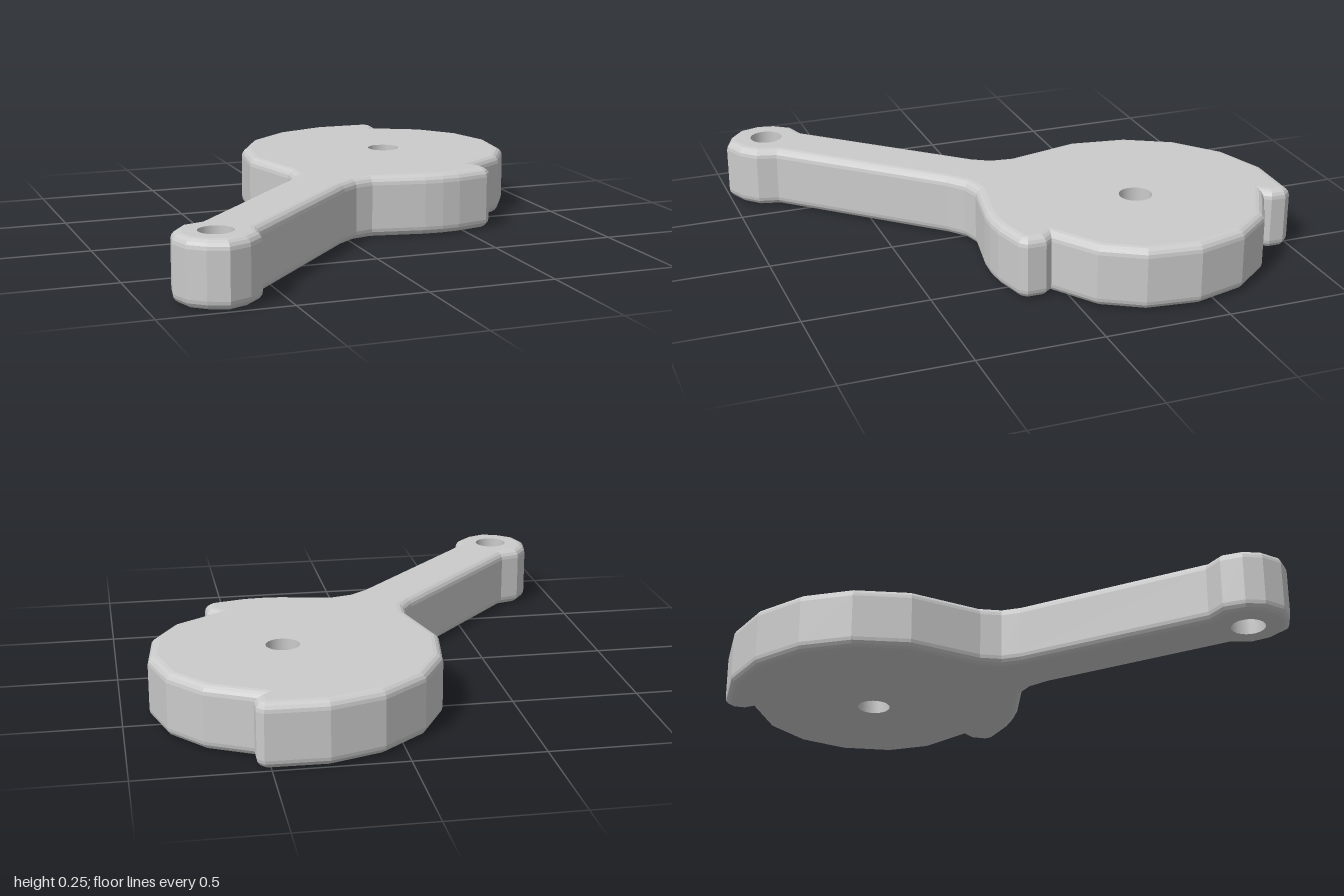
import * as THREE from 'three';

const HEIGHT = 0.25, BEVEL = 0.036, STEPS = 4;

// Outline seen from above as [x, z], anticlockwise
const OUTLINE = [
  // small eye at the end of the arm
  [-0.75, 0.665], [-0.83, 0.69], [-0.88, 0.76], [-0.895, 0.835], [-0.87, 0.92], [-0.81, 0.97], [-0.735, 1.0],
  [-0.65, 0.965], [-0.59, 0.905], [-0.57, 0.825],
  // arm edge and fillet into the disc
  [-0.04, 0.255], [0.03, 0.2], [0.105, 0.18],
  // front tab
  [0.32, 0.22], [0.395, 0.225], [0.47, 0.22], [0.605, 0.188], [0.63, 0.16], [0.63, 0.085], [0.605, 0.055],
  // stepped-in side of the disc
  [0.775, -0.06], [0.87, -0.22], [0.895, -0.43], [0.84, -0.63], [0.72, -0.78], [0.53, -0.88],
  // rear tab
  [0.55, -0.905], [0.55, -0.965], [0.525, -0.995],
  // far side of the disc and fillet back to the arm
  [0.29, -1.0], [0.08, -0.93], [-0.095, -0.785], [-0.2, -0.595], [-0.235, -0.365],
  [-0.165, -0.07], [-0.175, 0.015], [-0.215, 0.08],
];
const HOLES = [['discHole', 0.38, -0.39], ['armHole', -0.735, 0.83]];
const HOLE_RADIUS = 0.066;

// Move every edge of the outline inward by d, with mitred corners
function inset(points, d) {
  const n = points.length;
  const normal = (a, b) => {
    const dx = b[0] - a[0], dz = b[1] - a[1], l = Math.hypot(dx, dz);
    return [dz / l, -dx / l];
  };
  return points.map((p, i) => {
    const n1 = normal(points[(i + n - 1) % n], p);
    const n2 = normal(p, points[(i + 1) % n]);
    const k = d / Math.max(0.35, 1 + n1[0] * n2[0] + n1[1] * n2[1]);
    return [p[0] + (n1[0] + n2[0]) * k, p[1] + (n1[1] + n2[1]) * k];
  });
}

// Rounded side wall: rings of the outline from bottom to top
function rimGeometry() {
  const rings = [];
  for (let s = 0; s <= STEPS; s++) {
    const a = (s / STEPS) * Math.PI / 2;
    rings.push({ d: BEVEL * (1 - Math.sin(a)), y: BEVEL * (1 - Math.cos(a)) });
  }
  for (let s = STEPS; s >= 0; s--) rings.push({ d: rings[s].d, y: HEIGHT - rings[s].y });
  const n = OUTLINE.length, pos = [], index = [];
  rings.forEach(({ d, y }) => inset(OUTLINE, d).forEach(([x, z]) => pos.push(x, y, z)));
  for (let r = 0; r < rings.length - 1; r++) {
    for (let i = 0; i < n; i++) {
      const a = r * n + i, b = r * n + (i + 1) % n;
      index.push(a, b, b + n, a, b + n, a + n);
    }
  }
  const g = new THREE.BufferGeometry();
  g.setAttribute('position', new THREE.Float32BufferAttribute(pos, 3));
  g.setIndex(index);
  g.computeVertexNormals();
  return g;
}

// Flat face with the two holes, facing up or down
function faceGeometry(up) {
  const shape = new THREE.Shape(inset(OUTLINE, BEVEL).map(([x, z]) => new THREE.Vector2(x, -z)));
  HOLES.forEach(([, x, z]) => {
    shape.holes.push(new THREE.Path().absarc(x, -z, HOLE_RADIUS, 0, Math.PI * 2, true));
  });
  const g = new THREE.ShapeGeometry(shape, 12);
  g.rotateX(-Math.PI / 2);
  if (up) g.translate(0, HEIGHT, 0);
  else g.index.array.reverse();
  g.computeVertexNormals();
  return g;
}

export function createModel() {
  const model = new THREE.Group();
  model.name = 'leverPlate';
  const flat = new THREE.MeshStandardMaterial({ color: 0xcccccc, flatShading: true });
  const bore = new THREE.MeshStandardMaterial({ color: 0xcccccc, side: THREE.BackSide });
  const add = (name, geometry, material) => {
    const mesh = new THREE.Mesh(geometry, material);
    mesh.name = name;
    model.add(mesh);
    return mesh;
  };

  add('roundedRim', rimGeometry(), flat);
  add('topFace', faceGeometry(true), flat);
  add('bottomFace', faceGeometry(false), flat);

  // Bores through the disc and the arm's eye
  HOLES.forEach(([name, x, z]) => {
    const g = new THREE.CylinderGeometry(HOLE_RADIUS, HOLE_RADIUS, HEIGHT, 24, 1, true);
    add(name, g, bore).position.set(x, HEIGHT / 2, z);
  });
  return model;
}
